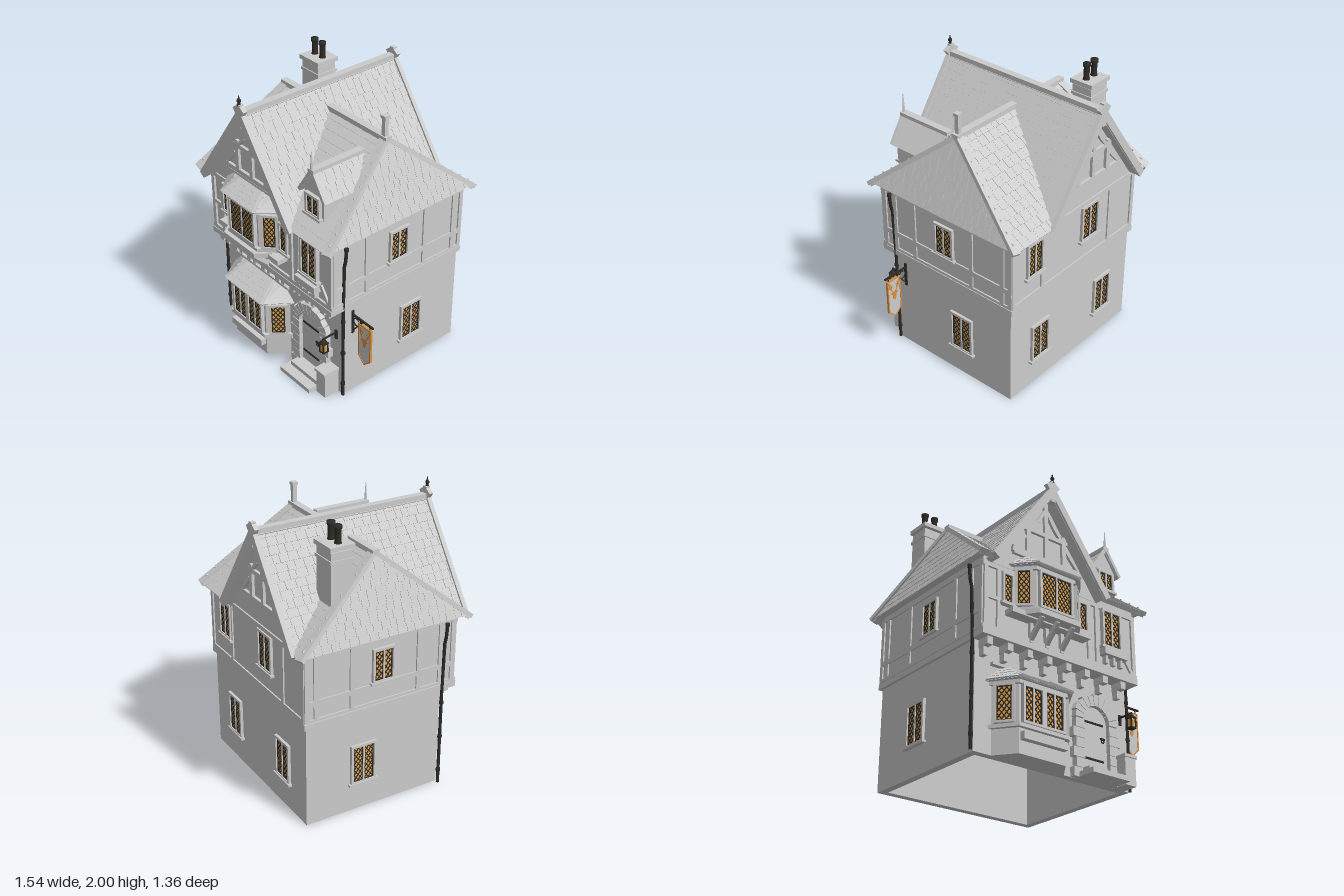
import * as THREE from 'three';
import { mergeGeometries } from 'three/addons/utils/BufferGeometryUtils.js';
import { ConvexGeometry } from 'three/addons/geometries/ConvexGeometry.js';

const mat = (name, color) => Object.assign(new THREE.MeshStandardMaterial({ color }), { name });
const V = (x, y, z) => new THREE.Vector3(x, y, z);

export function createModel() {
  const root = new THREE.Group();
  root.name = 'timberHouse';
  const stone = mat('stoneGrey', 0xcccccc), iron = mat('darkIron', 0x2e2c27);
  const glass = mat('amberGlass', 0xe6a650), gold = mat('bannerOrange', 0xd8913e);
  let seed = 7;
  const rnd = () => (seed = (seed * 16807) % 2147483647) / 2147483647;

  // ---- helpers ----
  const add = (p, name, m, geo, x = 0, y = 0, z = 0) => {
    const o = new THREE.Mesh(geo, m);
    o.name = name; o.position.set(x, y, z); p.add(o);
    return o;
  };
  const group = (name, x = 0, y = 0, z = 0, ry = 0, p = root) => {
    const g = new THREE.Group();
    g.name = name; g.position.set(x, y, z); g.rotation.y = ry; p.add(g);
    return g;
  };
  const box = (p, name, m, w, h, d, x, y, z) => add(p, name, m, new THREE.BoxGeometry(w, h, d), x, y, z);
  const span = (p, name, m, x0, x1, y0, y1, z0, z1) =>
    box(p, name, m, x1 - x0, y1 - y0, z1 - z0, (x0 + x1) / 2, (y0 + y1) / 2, (z0 + z1) / 2);
  const cyl = (p, name, m, r0, r1, h, x, y, z, n = 10) => add(p, name, m, new THREE.CylinderGeometry(r0, r1, h, n), x, y, z);
  const hull = (p, name, pts) => add(p, name, stone, new ConvexGeometry(pts));
  const strut = (p, name, m, a, b, w, t, up = V(0, 1, 0)) => {
    const o = box(p, name, m, w, t, a.distanceTo(b), 0, 0, 0);
    o.position.copy(a).lerp(b, 0.5);
    o.quaternion.setFromRotationMatrix(new THREE.Matrix4().lookAt(b, a, up));
  };
  const tube = (p, name, m, pts, r) =>
    add(p, name, m, new THREE.TubeGeometry(new THREE.CatmullRomCurve3(pts, false, 'catmullrom', 0.1), 24, r, 8));
  const extrude = (shape, depth) => new THREE.ExtrudeGeometry(shape, { depth, bevelEnabled: false, curveSegments: 12 });
  const poly = (pts) => new THREE.Shape(pts.map(([x, y]) => new THREE.Vector2(x, y)));
  // flat strips in a wall plane: [x0, y0, x1, y1, width]
  const timbers = (p, list, d = 0.03, name = 'timber', m = stone) => list.forEach(([x0, y0, x1, y1, w = 0.03]) => {
    const o = box(p, name, m, Math.hypot(x1 - x0, y1 - y0), w, d, (x0 + x1) / 2, (y0 + y1) / 2, 0);
    o.rotation.z = Math.atan2(y1 - y0, x1 - x0);
  });

  // roof panel: slab plus staggered tiles on quad A,B (eave) C,D (top)
  const panel = (p, name, A, B, C, D, rows, thick = 0.035) => {
    const u = B.clone().sub(A).normalize();
    const n = u.clone().cross(D.clone().sub(A)).normalize(), v = n.clone().cross(u);
    const down = n.clone().multiplyScalar(-thick);
    hull(p, name, [A, B, C, D].flatMap((q) => [q, q.clone().add(down)]));
    const rowH = D.clone().sub(A).dot(v) / rows, tiles = [];
    for (let r = 0; r < rows; r++) {
      const t = (r + 0.5) / rows, L = A.clone().lerp(D, t), len = L.distanceTo(B.clone().lerp(C, t));
      for (let s = 0; s < len - 0.004;) {
        let w = Math.min(0.045 + 0.035 * rnd(), len - s);
        if (len - s - w < 0.02) w = len - s;
        const g = new THREE.BoxGeometry(w - 0.002, rowH * 1.04, 0.006);
        g.rotateX(-0.06);
        g.applyMatrix4(new THREE.Matrix4().makeBasis(u, v, n));
        const c = L.clone().addScaledVector(u, s + w / 2).addScaledVector(n, 0.001 + 0.002 * rnd());
        tiles.push(g.translate(c.x, c.y, c.z));
        s += w;
      }
    }
    add(p, name + 'Tiles', stone, mergeGeometries(tiles));
  };

  // leaded window facing +z, with n lights
  const windowUnit = (p, x, y, z, w, h, n = 2, ry = 0, sill = true) => {
    const g = group('window', x, y, z, ry, p), f = 0.017;
    for (const s of [-1, 1]) {
      box(g, 'windowFrame', stone, f, h, 0.04, s * (w - f) / 2, 0, 0);
      box(g, 'windowFrame', stone, w, f, 0.04, 0, s * (h - f) / 2, 0);
    }
    if (sill) box(g, 'windowSill', stone, w + 0.03, 0.016, 0.05, 0, -h / 2, 0.003);
    const lw = (w - 2 * f) / n, H = h - 2 * f, a = 0.031, b = 0.04, bars = [];
    box(g, 'windowGlass', glass, w - f, h - f, 0.008, 0, 0, 0.004);
    for (let i = 0; i < n; i++) {
      const cx = -w / 2 + f + lw * (i + 0.5), W = lw - 0.012;
      if (i) box(g, 'mullion', stone, 0.012, H, 0.034, cx - lw / 2, 0, 0);
      for (const s of [-1, 1]) {
        bars.push(new THREE.BoxGeometry(0.007, H, 0.006).translate(cx + s * W / 2, 0, 0.009));
        bars.push(new THREE.BoxGeometry(W, 0.007, 0.006).translate(cx, s * (H / 2 - 0.003), 0.009));
        for (let k = -12; k <= 12; k++) {
          const x0 = Math.max(-W / 2, a * (k - H / 2 / b)), x1 = Math.min(W / 2, a * (k + H / 2 / b));
          if (x1 - x0 < 0.003) continue;
          const y0 = b * (k - x0 / a), y1 = b * (k - x1 / a);
          bars.push(new THREE.BoxGeometry(Math.hypot(x1 - x0, y1 - y0), 0.0065, 0.005)
            .rotateZ(s * Math.atan2(y1 - y0, x1 - x0)).translate(cx + (x0 + x1) / 2, s * (y0 + y1) / 2, 0.009));
        }
      }
    }
    add(g, 'windowLeads', iron, mergeGeometries(bars));
  };

  // ---- walls ----
  const ring = poly([[-0.68, -0.43], [0.57, -0.43], [0.57, 0.585], [-0.68, 0.585]]);
  ring.holes.push(poly([[-0.63, -0.38], [-0.63, 0.535], [0.52, 0.535], [0.52, -0.38]]));
  add(root, 'groundFloorWalls', stone, extrude(ring, 0.73).rotateX(-Math.PI / 2));
  span(root, 'upperFloor', stone, -0.69, 0.575, 0.72, 1.24, -0.595, 0.52);
  hull(root, 'atticCore', [1.22, 1.28].flatMap((y) => [-0.69, 0.575].flatMap((x) => [V(x, y, -0.595), V(x, y, 0.52)]))
    .concat([V(-0.55, 1.72, -0.03), V(0.42, 1.72, -0.03)]));
  add(root, 'gableWall', stone, extrude(poly([[-0.65, 1.22], [0.25, 1.22], [-0.2, 1.86]]), 1.125), 0, 0, -0.595);
  span(root, 'jettyBeam', stone, -0.7, 0.585, 0.715, 0.755, -0.605, 0.54);
  for (let i = 0; i < 8; i++) {
    const x = -0.63 + i * 0.157;
    box(root, 'corbel', stone, 0.042, 0.05, 0.09, x, 0.69, 0.475);
    box(root, 'corbel', stone, 0.03, 0.06, 0.05, x, 0.64, 0.45);
  }

  // ---- timber framing ----
  timbers(group('frontFraming', 0, 0, 0.52), [
    [-0.7, 0.77, 0.585, 0.77], [-0.7, 1.2, 0.585, 1.2], [-0.675, 0.77, -0.675, 1.2], [-0.575, 0.77, -0.575, 1.2],
    [-0.675, 0.98, -0.575, 0.98, 0.025], [0.17, 0.77, 0.17, 1.2], [0.24, 0.77, 0.24, 1.2], [0.565, 0.77, 0.565, 1.2],
    [0.47, 0.9, 0.55, 0.78, 0.025], [-0.46, 0.95, -0.46, 1.2], [0.06, 0.95, 0.06, 1.2]]);
  const gableFrame = [[-0.28, 1.37, 0.28, 1.37, 0.035], [-0.18, 1.56, 0.18, 1.56, 0.03], [0, 1.38, 0, 1.85, 0.03],
    ...[-1, 1].flatMap((s) => [[s * 0.15, 1.37, s * 0.15, 1.6, 0.035], [s * 0.27, 1.39, s * 0.17, 1.5, 0.022],
      [s * 0.13, 1.57, s * 0.07, 1.64, 0.022], [s * 0.07, 1.64, s * 0.01, 1.74, 0.022]])];
  timbers(group('frontGableFraming', -0.2, 0, 0.535), gableFrame);
  timbers(group('backGableFraming', -0.2, 0, -0.6, Math.PI), gableFrame);
  timbers(group('backFraming', 0, 0, -0.595, Math.PI), [[-0.575, 0.77, 0.69, 0.77], [-0.575, 1.2, 0.69, 1.2],
    ...[-0.565, -0.28, 0.42, 0.675].map((x) => [x, 0.76, x, 1.21])], 0.02);
  for (const s of [-1, 1]) {
    const f = group('sideFraming', s > 0 ? 0.575 : -0.69, 0, 0, s * Math.PI / 2);
    const rails = [[0.77, 0.02], [1.21, 0.02], [0.89, 0.035]].map(([y, w]) => [-s * 0.52, y, s * 0.6, y, w]);
    const studs = [-0.505, -0.41, -0.24, 0.26, 0.52, 0.585].map((x) => [s * x, 0.76, s * x, 1.21]);
    timbers(f, [...rails, ...studs], 0.02);
    windowUnit(f, s * 0.03, 1.03, 0, 0.165, 0.24);
    windowUnit(f, s * 0.165, 0.345, s > 0 ? -0.005 : -0.01, 0.19, 0.29);
  }

  // ---- flat windows ----
  for (const [x, y, w, h] of [[0.28, 0.345, 0.18, 0.29], [-0.39, 0.345, 0.18, 0.29], [0.36, 1.05, 0.16, 0.26], [-0.2, 1.05, 0.18, 0.27]])
    windowUnit(root, x, y, y > 0.7 ? -0.595 : -0.585, w, h, 2, Math.PI);
  windowUnit(root, 0.365, 1.05, 0.53, 0.17, 0.28);
  for (const x of [-0.51, 0.11]) windowUnit(root, x, 1.07, 0.53, 0.09, 0.22, 1);
  span(root, 'flowerBox', stone, 0.265, 0.465, 0.845, 0.895, 0.52, 0.58);
  for (const x of [0.3, 0.365, 0.43]) span(root, 'flowerBoxBracket', stone, x - 0.01, x + 0.01, 0.79, 0.85, 0.52, 0.555);

  // ---- main roof, cross roof ----
  const R = group('roof'), zf = 0.62, zb = -0.675, E = 1.24, yr = 1.74, zr = -0.03;
  panel(R, 'mainRoofRight', V(0.265, 1.235, zf - 0.01), V(0.265, 1.235, zb + 0.01), V(-0.2, 1.88, zb + 0.01), V(-0.2, 1.88, zf - 0.01), 14);
  panel(R, 'mainRoofLeft', V(-0.665, 1.235, zb + 0.01), V(-0.665, 1.235, zf - 0.01), V(-0.2, 1.88, zf - 0.01), V(-0.2, 1.88, zb + 0.01), 14);
  const hipL = V(-0.57, yr, zr), hipR = V(0.44, yr, zr), valL = V(-0.3, yr, zr), valR = V(-0.1, yr, zr);
  const fz = 0.6, bz = -0.66, xl = -0.755, xr = 0.625;
  panel(R, 'crossRoofFrontLeft', V(xl, E, fz), V(-0.66, E, fz), valL, hipL, 12);
  panel(R, 'crossRoofFrontRight', V(0.26, E, fz), V(xr, E, fz), hipR, valR, 12);
  panel(R, 'crossRoofBackLeft', V(-0.66, E, bz), V(xl, E, bz), hipL, valL, 12);
  panel(R, 'crossRoofBackRight', V(xr, E, bz), V(0.26, E, bz), valR, hipR, 12);
  panel(R, 'hipRight', V(xr - 0.01, E, fz), V(xr - 0.01, E, bz), hipR, hipR, 10);
  panel(R, 'hipLeft', V(xl + 0.01, E, bz), V(xl + 0.01, E, fz), hipL, hipL, 10);
  // verge boards lie flat on the front and back slopes
  for (const [h, x, s] of [[hipL, xl, -1], [hipR, xr, 1]]) for (const z of [fz, bz])
    strut(R, 'hipBoard', stone, V(x - s * 0.014, E - 0.008, z), V(h.x - s * 0.014, h.y, h.z), 0.06, 0.03, V(0, 0.79, 0.61 * Math.sign(z)));
  span(R, 'mainRidgeCap', stone, -0.225, -0.175, 1.86, 1.895, zb, zf);
  span(R, 'crossRidgeCap', stone, -0.59, 0.46, 1.725, 1.76, zr - 0.025, zr + 0.025);
  for (const z of [zf - 0.01, zb + 0.01]) {
    for (const s of [-1, 1])
      strut(R, 'bargeBoard', stone, V(-0.2 + s * 0.465, 1.222, z), V(-0.2 - s * 0.035, 1.918, z), 0.03, 0.052, V(s, 0.7, 0));
    span(R, 'apexPost', stone, -0.218, -0.182, 1.78, 1.94, z - 0.015, z + 0.015);
  }
  cyl(R, 'frontFinial', iron, 0.003, 0.012, 0.07, -0.2, 1.965, 0.615);
  add(R, 'frontFinialBall', iron, new THREE.SphereGeometry(0.014, 10, 8), -0.2, 1.965, 0.615);
  box(R, 'hipPost', stone, 0.03, 0.16, 0.03, 0.425, 1.815, zr);
  box(R, 'hipPostCap', stone, 0.042, 0.02, 0.042, 0.425, 1.89, zr);

  // ---- chimney ----
  const ch = group('chimney', -0.547, 0, -0.3);
  box(ch, 'stack', stone, 0.17, 0.56, 0.15, 0, 1.54, 0);
  box(ch, 'stackBand', stone, 0.185, 0.02, 0.165, 0, 1.76, 0);
  box(ch, 'stackCap', stone, 0.195, 0.03, 0.175, 0, 1.845, 0);
  for (const s of [-1, 1])
    add(ch, 'chimneyPot', iron, new THREE.LatheGeometry([[0.026, 0], [0.02, 0.02], [0.02, 0.09], [0.026, 0.1], [0.026, 0.12], [0, 0.12]]
      .map(([r, y]) => new THREE.Vector2(r, y)), 16), s * 0.04, 1.855, 0);

  // ---- dormer ----
  const D = group('dormer', 0.365, 0, 0);
  span(D, 'dormerWall', stone, -0.09, 0.09, 1.35, 1.53, 0.15, 0.485);
  add(D, 'dormerGable', stone, extrude(poly([[-0.1, 1.52], [0.1, 1.52], [0, 1.66]]), 0.37), 0, 0, 0.12);
  panel(D, 'dormerRoofRight', V(0.125, 1.5, 0.505), V(0.125, 1.5, 0.24), V(0, 1.68, 0.09), V(0, 1.68, 0.505), 6, 0.015);
  panel(D, 'dormerRoofLeft', V(-0.125, 1.5, 0.24), V(-0.125, 1.5, 0.505), V(0, 1.68, 0.505), V(0, 1.68, 0.09), 6, 0.015);
  span(D, 'dormerRidge', stone, -0.025, 0.025, 1.67, 1.695, 0.1, 0.515);
  for (const s of [-1, 1]) strut(D, 'dormerBarge', stone, V(s * 0.122, 1.5, 0.505), V(0, 1.685, 0.505), 0.018, 0.024, V(s, 0.7, 0));
  cyl(D, 'dormerSpike', stone, 0.002, 0.011, 0.14, 0, 1.75, 0.505);
  windowUnit(D, 0, 1.435, 0.49, 0.14, 0.15);

  // ---- bay windows: half widths at front (hf) and wall (ho) ----
  const ringPts = (y, hf, ho, z1, z0) => [V(-ho, y, z0), V(-hf, y, z1), V(hf, y, z1), V(ho, y, z0)];
  const bay = (name, cx, zw, z1, hf, ho, y0, y1, sill, rise, fronts) => {
    const g = group(name, cx);
    const layer = (n, a, b, grow) => hull(g, n, [a, b].flatMap((y) => ringPts(y, hf + grow * 0.5, ho + grow, z1 + grow, zw - 0.01)));
    layer('bayBody', y0, y1, 0);
    layer('baySill', sill - 0.012, sill + 0.012, 0.025);
    layer('bayHead', y1 - 0.02, y1 + 0.01, 0.02);
    const h = y1 - sill - 0.03, cy = (y1 + sill) / 2;
    for (const [x, w] of fronts) windowUnit(g, x, cy, z1 + 0.008, w, h, 2, 0, false);
    const dx = ho - hf, dz = z1 - zw, ang = Math.atan2(dz, dx);
    for (const s of [-1, 1])
      windowUnit(g, s * ((ho + hf) / 2 + 0.006), cy, (z1 + zw) / 2 + 0.006, Math.hypot(dx, dz) * 0.75, h, 1, s * ang, false);
    const e = ringPts(y1 + 0.01, hf + 0.025, ho + 0.04, z1 + 0.05, zw), t = ringPts(y1 + rise, hf * 0.85, ho * 0.75, zw + 0.03, zw);
    hull(g, 'bayRoofCore', [...e, ...t].map((q) => q.clone().add(V(0, -0.006, 0))));
    for (let i = 0; i < 3; i++) panel(g, 'bayRoof', e[i], e[i + 1], t[i + 1], t[i], 4, 0.012);
    for (const i of [1, 2]) strut(g, 'bayHip', stone, e[i], t[i], 0.02, 0.018);
    box(g, 'bayFlashing', stone, ho * 2.05, 0.018, 0.04, 0, y1 + rise + 0.012, zw + 0.012);
    return g;
  };
  const up = bay('upperBay', -0.2, 0.52, 0.62, 0.15, 0.265, 0.93, 1.24, 0.945, 0.095, [[0, 0.275]]);
  span(up, 'bayShelf', stone, -0.32, 0.32, 0.89, 0.925, 0.5, 0.6);
  hull(up, 'bayShelfFront', [0.9, 0.935].flatMap((y) => ringPts(y, 0.165, 0.235, 0.675, 0.58)));
  for (const x of [-0.125, 0, 0.125]) {
    strut(up, 'bayBracket', stone, V(x, 0.78, 0.535), V(x, 0.895, 0.65), 0.025, 0.03);
    span(up, 'bayBracketPost', stone, x - 0.0125, x + 0.0125, 0.755, 0.9, 0.52, 0.545);
  }
  const low = bay('lowerBay', -0.265, 0.43, 0.565, 0.18, 0.29, 0, 0.46, 0.175, 0.11, [[-0.083, 0.166], [0.083, 0.166]]);
  span(low, 'bayPlanter', stone, -0.17, 0.17, 0.085, 0.135, 0.56, 0.605);

  // ---- doorway ----
  const door = group('doorway', 0.27, 0, 0.43);
  const leaf = poly([[-0.105, 0.06], [0.105, 0.06], [0.105, 0.4]]);
  leaf.absarc(0, 0.4, 0.105, 0, Math.PI, false);
  add(door, 'doorLeaf', stone, extrude(leaf, 0.012));
  for (let i = 0; i < 11; i++) {
    const a0 = (i * Math.PI) / 11 + 0.012, a1 = ((i + 1) * Math.PI) / 11 - 0.012, r = 0.178 + (i % 2) * 0.01;
    const c = (q, a) => [q * Math.cos(a), 0.4 + q * Math.sin(a)];
    add(door, 'archStone', stone, extrude(poly([c(0.108, a0), c(r, a0), c(r, a1), c(0.108, a1)]), 0.04));
  }
  for (let i = 0; i < 6; i++) for (const s of [-1, 1]) {
    const w = i % 2 ? 0.07 : 0.092;
    box(door, 'jambStone', stone, w, 0.063, 0.06, s * (0.107 + w / 2), 0.033 + i * 0.066, 0.01);
  }
  for (const y of [0.15, 0.395]) box(door, 'hinge', iron, 0.165, 0.012, 0.008, -0.01, y, 0.015);
  add(door, 'knocker', iron, new THREE.TorusGeometry(0.011, 0.004, 6, 14), 0.065, 0.287, 0.02);
  box(door, 'knockerPlate', iron, 0.034, 0.012, 0.014, 0.065, 0.303, 0.016);
  span(door, 'upperStep', stone, -0.13, 0.15, 0, 0.065, 0, 0.1);
  span(door, 'lowerStep', stone, -0.16, 0.15, 0, 0.033, 0, 0.17);
  span(door, 'stepPillar', stone, 0.165, 0.255, 0, 0.185, 0, 0.115);
  span(door, 'pillarCap', stone, 0.157, 0.263, 0.185, 0.205, 0, 0.125);

  // ---- lantern ----
  const lamp = group('lantern', 0.51, 0, 0.54);
  box(lamp, 'lanternGlass', glass, 0.034, 0.065, 0.034, 0, 0.43, 0);
  for (const x of [-1, 1]) for (const z of [-1, 1]) box(lamp, 'lanternBar', iron, 0.009, 0.07, 0.009, x * 0.018, 0.43, z * 0.018);
  for (const y of [0.395, 0.463]) box(lamp, 'lanternRim', iron, 0.046, 0.01, 0.046, 0, y, 0);
  cyl(lamp, 'lanternHood', iron, 0.008, 0.036, 0.03, 0, 0.478, 0, 4).rotation.y = Math.PI / 4;
  box(lamp, 'lanternArm', iron, 0.01, 0.01, 0.12, 0, 0.497, -0.05);
  box(lamp, 'lanternMount', iron, 0.02, 0.07, 0.01, 0, 0.48, -0.105);

  // ---- downpipes ----
  for (const s of [-1, 1]) {
    const x = s > 0 ? 0.575 : -0.7;
    tube(root, 'downpipe', iron, [V(x, 0, 0.432), V(x, 0.7, 0.432), V(x + s * 0.01, 1.06, 0.432), V(x + s * 0.025, 1.12, 0.432), V(x + s * 0.03, 1.21, 0.432)], 0.011);
    for (const y of [0.1, 0.36, 0.62, 1.2]) cyl(root, 'pipeCollar', iron, 0.015, 0.015, 0.02, x + (y > 1 ? s * 0.03 : 0), y, 0.432);
  }

  // ---- hanging banner ----
  const sign = group('hangingSign', 0.695, 0, 0.348);
  span(sign, 'signArm', iron, -0.13, 0.075, 0.633, 0.645, -0.006, 0.006);
  box(sign, 'signWallPlate', iron, 0.012, 0.18, 0.02, -0.122, 0.58, 0);
  strut(sign, 'signBrace', iron, V(-0.12, 0.51, 0), V(-0.02, 0.635, 0), 0.008, 0.008);
  add(sign, 'signScroll', iron, new THREE.TorusGeometry(0.028, 0.004, 6, 18), -0.085, 0.595, 0);
  for (const x of [-0.045, 0.045]) span(sign, 'signHook', iron, x - 0.003, x + 0.003, 0.6, 0.64, -0.003, 0.003);
  const outline = (k) => [[-0.06 + k, 0.61 - k], [-0.06 + k, 0.35 + k * 0.6], [0, 0.295 + k * 1.2], [0.06 - k, 0.35 + k * 0.6], [0.06 - k, 0.61 - k]];
  const rim = poly(outline(0));
  rim.holes.push(poly(outline(0.009)));
  add(sign, 'bannerBorder', gold, extrude(rim, 0.016), 0, 0, -0.008);
  add(sign, 'bannerCloth', stone, extrude(poly(outline(0.007)), 0.01), 0, 0, -0.005);
  const head = poly([[0, 0.435], [0.013, 0.45], [0.016, 0.48], [0.036, 0.502], [0.012, 0.508], [-0.012, 0.508], [-0.036, 0.502], [-0.016, 0.48], [-0.013, 0.45]]);
  add(sign, 'emblemHead', gold, extrude(head, 0.014), 0, 0, -0.007);
  timbers(sign, [-1, 1].flatMap((s) => [[0.007, 0.5, 0.028, 0.53], [0.027, 0.528, 0.043, 0.55], [0.042, 0.547, 0.044, 0.592],
    [0.028, 0.528, 0.02, 0.565], [0.036, 0.54, 0.031, 0.58]].map(([x0, y0, x1, y1]) => [s * x0, y0, s * x1, y1, 0.008])), 0.014, 'emblemAntler', gold);
  return root;
}
